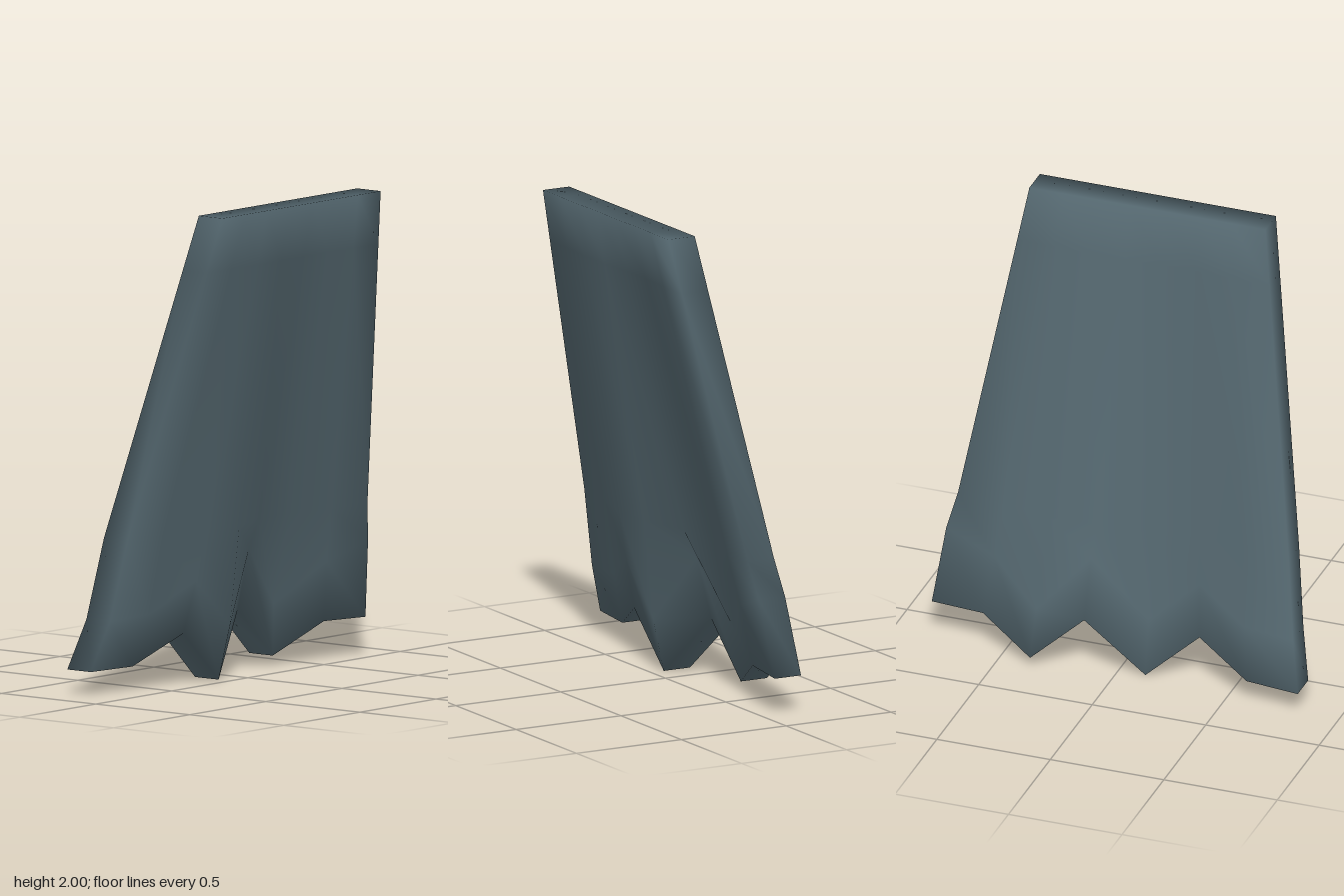
import * as THREE from 'three';

// Eight columns of cloth from +z to -z; x is the inner (-x) face of the slab.
const COLS = 8, RING = COLS * 2, THICK = 0.125;
const hemX = [-0.29, -0.26, -0.18, -0.185, -0.275, -0.28, -0.2, -0.17];
const hemY = [0.1, 0.1, 0.22, 0, 0.26, 0.04, 0.165, 0.16];
const foldX = [-0.225, -0.2, -0.13, -0.13, -0.21, -0.26, -0.16, -0.12];
const foldY = [0.31, 0.32, 0.44, 0.23, 0.52, 0.26, 0.42, 0.49];
const waistX = [-0.165, -0.14, -0.085, -0.085, -0.15, -0.16, -0.11, -0.09];

const spread = (i, half) => half * (1 - (2 * i) / (COLS - 1));

// Rows from the straight top edge down to the ragged hem
const top = i => [0.16, 2, spread(i, 0.52)];
const waist = i => [waistX[i], 0.65, spread(i, 0.742)];
const nearTop = i => {
  const a = top(i), b = waist(i);
  return a.map((v, k) => v + (b[k] - v) * 0.17);
};
const fold = i => [foldX[i], foldY[i], spread(i, 0.783)];
const hem = i => [hemX[i], hemY[i], spread(i, 0.828)];

function clothGeometry() {
  const rows = [top, nearTop, waist, fold, hem];
  const pos = [], idx = [];
  // Each row is a closed loop: outer face to -z, then inner face back to +z
  for (const row of rows) {
    for (let k = 0; k < RING; k++) {
      const outer = k < COLS;
      const [x, y, z] = row(outer ? k : RING - 1 - k);
      pos.push(x + (outer ? THICK : 0), y, z);
    }
  }
  const quad = (a, b, c, d) => idx.push(a, b, c, a, c, d);
  for (let r = 0; r < rows.length - 1; r++) {
    for (let k = 0; k < RING; k++) {
      const n = (k + 1) % RING, p = r * RING, q = p + RING;
      quad(p + k, q + k, q + n, p + n);
    }
  }
  // Top edge and hem edge
  const last = (rows.length - 1) * RING;
  for (let i = 0; i < COLS - 1; i++) {
    quad(i, i + 1, RING - 2 - i, RING - 1 - i);
    quad(last + RING - 1 - i, last + RING - 2 - i, last + i + 1, last + i);
  }
  const geo = new THREE.BufferGeometry();
  geo.setAttribute('position', new THREE.Float32BufferAttribute(pos, 3));
  geo.setIndex(idx);
  geo.computeVertexNormals();
  return geo;
}

export function createModel() {
  const group = new THREE.Group();
  group.name = 'raggedCloth';
  const slate = new THREE.MeshStandardMaterial({ color: 0x54676f });
  slate.name = 'slateCloth';
  const cloth = new THREE.Mesh(clothGeometry(), slate);
  cloth.name = 'clothPanel';
  group.add(cloth);
  return group;
}
